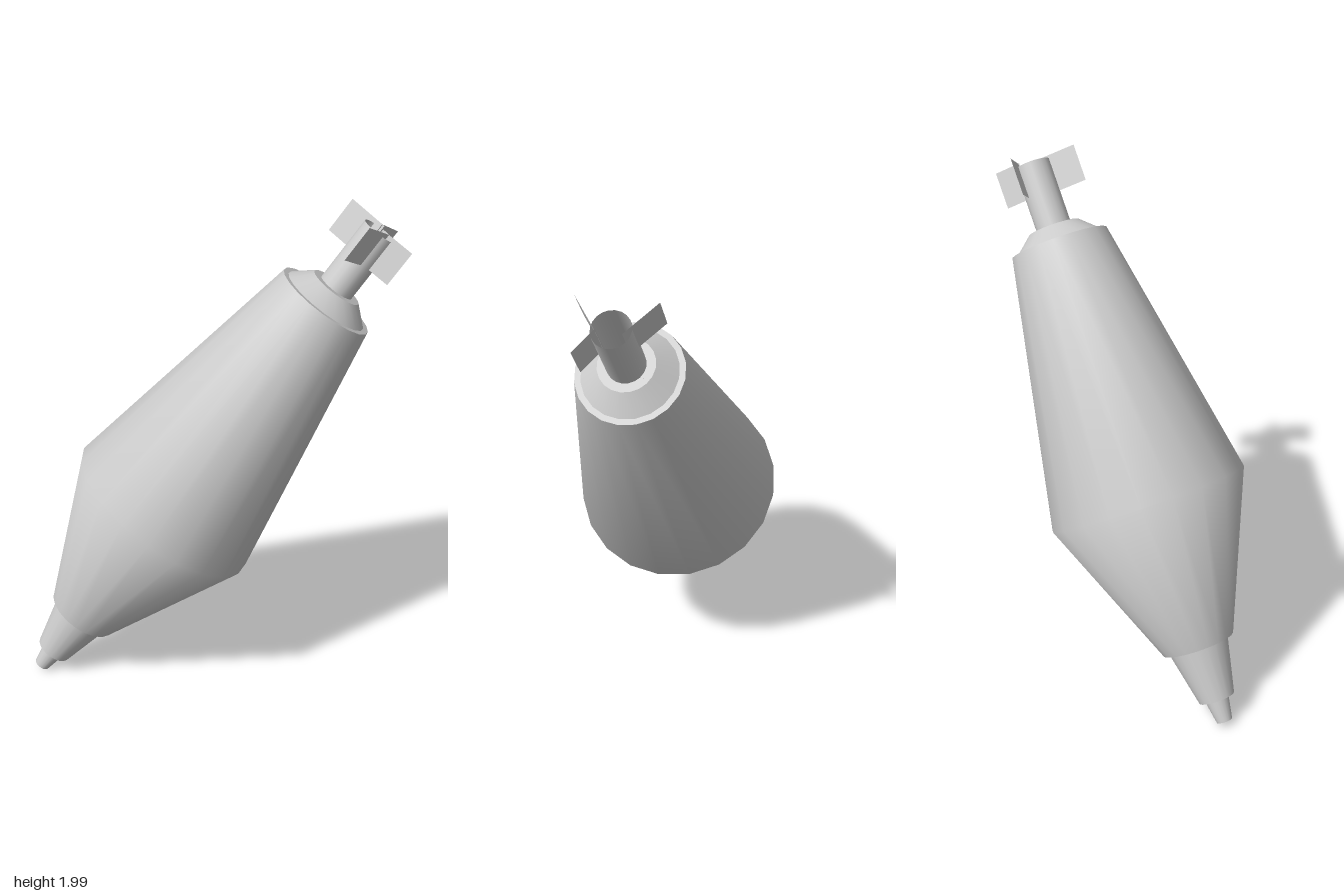
import * as THREE from 'three';

export function createModel() {
  const model = new THREE.Group();
  const solid = new THREE.MeshStandardMaterial({ color: 0xcccccc });
  const thin = new THREE.MeshStandardMaterial({ color: 0xcccccc, side: THREE.DoubleSide });
  const SIDES = 20;

  // Everything is built along local y, then the whole shell is tilted
  const shell = new THREE.Group();
  shell.name = 'shell';
  model.add(shell);

  // Turned part from [radius, height] pairs, listed from the bottom up
  function turned(name, profile, material = solid) {
    const points = profile.map(([r, h]) => new THREE.Vector2(r, h));
    const mesh = new THREE.Mesh(new THREE.LatheGeometry(points, SIDES), material);
    mesh.name = name;
    shell.add(mesh);
  }

  // Fuse tip and nose cone
  turned('tipEnd', [[0, -0.932], [0.032, -0.932]]);
  turned('tip', [[0.032, -0.932], [0.049, -0.836]]);
  turned('noseStep', [[0.049, -0.836], [0.073, -0.836]]);
  turned('nose', [[0.073, -0.836], [0.123, -0.61]]);

  // Double-tapered body
  turned('bodyBottom', [[0.123, -0.61], [0.146, -0.61]]);
  turned('body', [[0.146, -0.61], [0.4, 0], [0.196, 1.062]]);
  turned('bodyRim', [[0.196, 1.062], [0.174, 1.062]]);

  // Shoulder and open tail tube
  turned('shoulder', [[0.174, 1.062], [0.103, 1.126]]);
  turned('shoulderTop', [[0.103, 1.126], [0, 1.126]]);
  turned('tailTube', [[0.07, 1.126], [0.07, 1.388]], thin);

  // Thin tail fins: [inner x, inner z, outer x, outer z], mirrored front to back
  const fins = [[0.02, 0.045, -0.105, 0.145], [0.01, 0.048, 0.105, 0.108]];
  for (const [x0, z0, x1, z1] of fins) {
    for (const side of [1, -1]) {
      const dx = x1 - x0, dz = side * (z1 - z0);
      const fin = new THREE.Mesh(new THREE.PlaneGeometry(Math.hypot(dx, dz), 0.145), thin);
      fin.position.set((x0 + x1) / 2, 1.332, side * (z0 + z1) / 2);
      fin.rotation.y = Math.atan2(-dz, dx);
      fin.name = 'tailFin';
      shell.add(fin);
    }
  }

  // Tilt: local y runs from the nose up to the tail
  const axis = new THREE.Vector3(0.963, 1.367, 0.042).normalize();
  const across = new THREE.Vector3().crossVectors(axis, new THREE.Vector3(0, 0, 1)).normalize();
  const depth = new THREE.Vector3().crossVectors(across, axis);
  shell.quaternion.setFromRotationMatrix(new THREE.Matrix4().makeBasis(across, axis, depth));
  shell.position.set(-0.163, 0.783, 0.003);
  return model;
}
